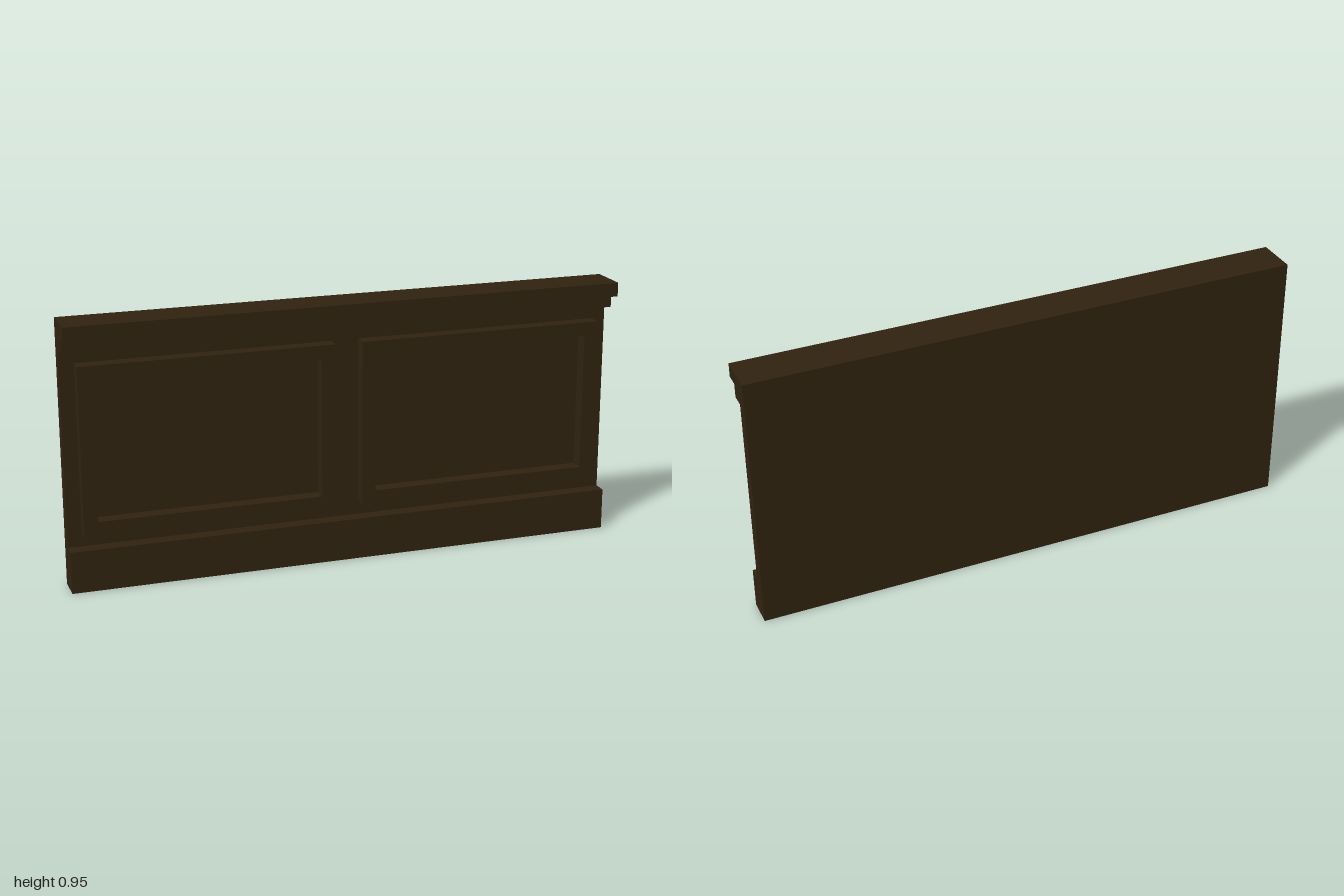
import * as THREE from 'three';

const BACK = -0.075, FACE = -0.025, PROUD = 0.025, CAP = 0.075;

export function createModel() {
  const group = new THREE.Group();
  const wood = new THREE.MeshStandardMaterial({ color: 0x2f2210 });
  wood.name = 'darkWood';

  const add = (name, geometry) => {
    const mesh = new THREE.Mesh(geometry, wood);
    mesh.name = name;
    group.add(mesh);
  };

  // Wall panel with skirting board, top rail and cap: one (z, y) profile run along x
  const profile = new THREE.Shape([
    [BACK, 0], [PROUD, 0], [PROUD, 0.15], [FACE, 0.15], [FACE, 0.85],
    [PROUD, 0.85], [PROUD, 0.9], [CAP, 0.9], [CAP, 0.95], [BACK, 0.95],
  ].map(([z, y]) => new THREE.Vector2(z, y)));
  const wall = new THREE.ExtrudeGeometry(profile, { depth: 2, bevelEnabled: false });
  wall.rotateY(-Math.PI / 2).translate(1, 0, 0);
  add('wallPanel', wall);

  // Rectangular moulding frames on the face, mirrored about the centre
  const rectangle = (Type, w, h) => new Type([
    [-w / 2, -h / 2], [w / 2, -h / 2], [w / 2, h / 2], [-w / 2, h / 2],
  ].map(([x, y]) => new THREE.Vector2(x, y)));
  for (const side of [1, -1]) {
    const outline = rectangle(THREE.Shape, 0.9, 0.6);
    outline.holes.push(rectangle(THREE.Path, 0.8, 0.5));
    const frame = new THREE.ExtrudeGeometry(outline, { depth: PROUD - FACE, bevelEnabled: false });
    frame.translate(side * 0.5, 0.5, FACE);
    add(side > 0 ? 'leftFrame' : 'rightFrame', frame);
  }

  return group;
}
